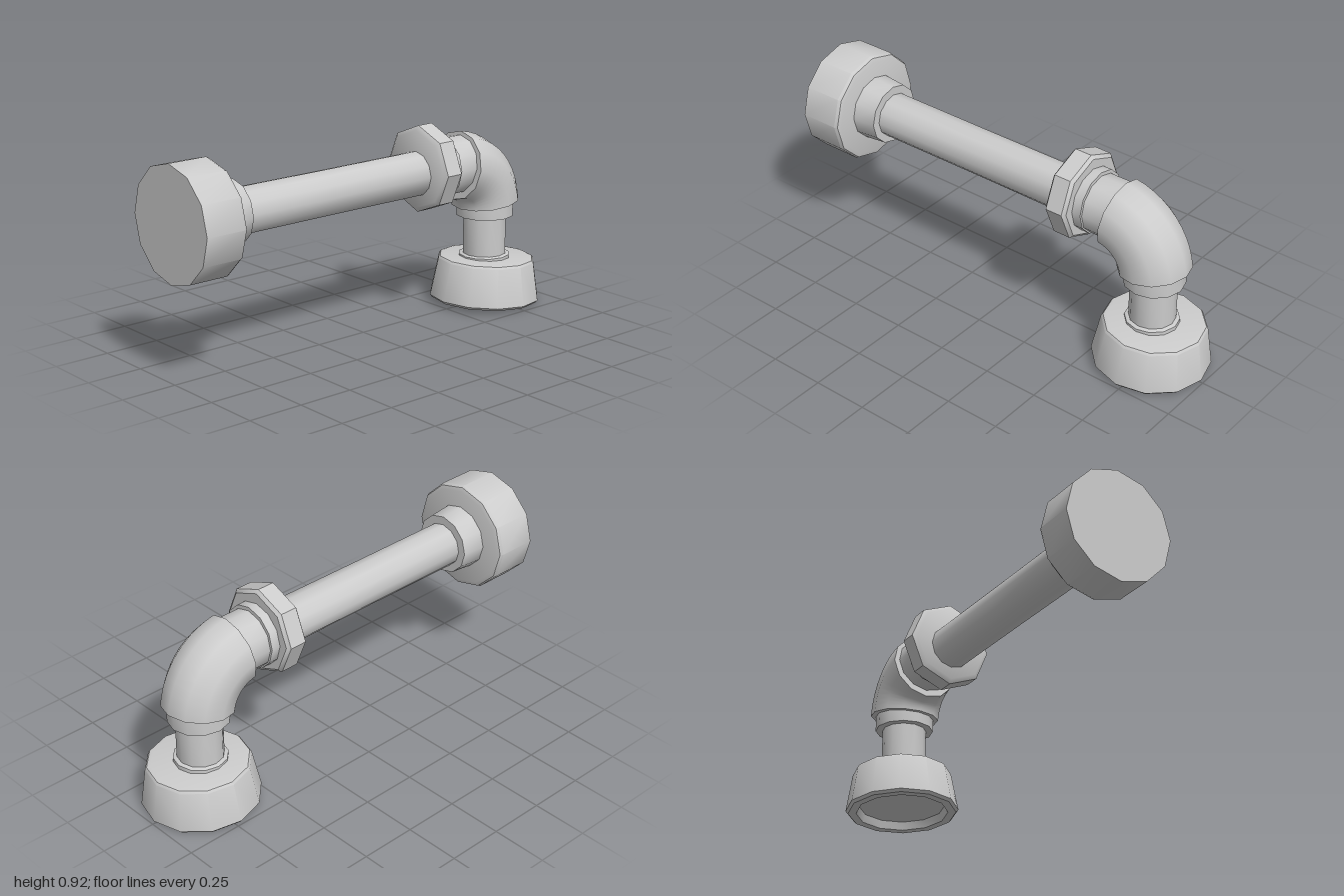
import * as THREE from 'three';
import { toCreasedNormals } from 'three/addons/utils/BufferGeometryUtils.js';

const AXIS = 0.672; // height of the horizontal pipe
const DROP = 0.732; // x of the vertical pipe

export function createModel() {
  const group = new THREE.Group();
  const mat = new THREE.MeshStandardMaterial({ color: 0xcccccc, side: THREE.DoubleSide });

  // Turned part: profile of [radius, distance along axis], listed from low to high
  function turned(name, profile, { sides = 12, horizontal = false, x = DROP, y = 0, tilt = 0 } = {}) {
    const pts = profile.map(([r, h]) => new THREE.Vector2(r, h));
    let geo = new THREE.LatheGeometry(pts, sides);
    geo = toCreasedNormals(geo, 0.65);
    if (horizontal) geo.rotateZ(-Math.PI / 2);
    const mesh = new THREE.Mesh(geo, mat);
    mesh.name = name;
    mesh.position.set(x, y, 0);
    mesh.rotation.z = tilt;
    group.add(mesh);
  }
  const along = (y = AXIS, extra = {}) => ({ horizontal: true, x: 0, y, ...extra });

  // Wall side and horizontal run
  turned('wallFlange', [[0, -1], [0.25, -1], [0.25, -0.82], [0.243, -0.806], [0.225, -0.8], [0, -0.8]], along());
  turned('wallCollar', [[0, -0.81], [0.146, -0.81], [0.136, -0.69], [0, -0.69]], along(0.675));
  turned('horizontalPipe', [[0.1, -0.72], [0.099, -0.2], [0.1, 0.32]], along());
  turned('octagonNut', [[0, 0.302], [0.175, 0.302], [0.195, 0.316], [0.195, 0.395], [0.18, 0.408], [0, 0.408]],
    along(0.691, { sides: 8 }));
  turned('nutRing', [[0, 0.4], [0.141, 0.4], [0.141, 0.45], [0, 0.45]], along(0.683));
  turned('elbowInlet', [[0.13, 0.44], [0.13, 0.6]], along(0.677));

  // Bend: tube swept along a quarter curve, closed at both mouths
  const elbow = new THREE.Group();
  elbow.name = 'elbow';
  const radius = 0.156;
  const curve = new THREE.CubicBezierCurve3(
    new THREE.Vector3(0.55, 0.67, 0), new THREE.Vector3(0.65, 0.655, 0),
    new THREE.Vector3(0.72, 0.58, 0), new THREE.Vector3(DROP, 0.48, 0));
  elbow.add(new THREE.Mesh(new THREE.TubeGeometry(curve, 10, radius, 12), mat));
  for (const t of [0, 1]) {
    const cap = new THREE.Mesh(new THREE.CircleGeometry(radius, 12), mat);
    const p = curve.getPoint(t);
    const dir = curve.getTangent(t).multiplyScalar(t ? 1 : -1);
    cap.position.copy(p);
    cap.lookAt(p.clone().add(dir));
    elbow.add(cap);
  }
  group.add(elbow);

  // Vertical drop
  turned('elbowOutlet', [[0, 0.415], [0.132, 0.415], [0.132, 0.5], [0, 0.5]]);
  turned('verticalPipe', [[0.1, 0.19], [0.1, 0.43]]);
  turned('headRing', [[0, 0.19], [0.117, 0.19], [0.117, 0.229], [0.108, 0.234], [0, 0.234]]);

  // Slightly tilted head with a shallow recess underneath
  turned('showerHead', [
    [0, 0.04], [0.195, 0.035], [0.208, 0], [0.245, 0], [0.256, 0.012],
    [0.225, 0.186], [0.217, 0.196], [0.2, 0.2], [0, 0.2],
  ], { x: 0.736, y: 0.016, tilt: -0.05 });

  return group;
}
